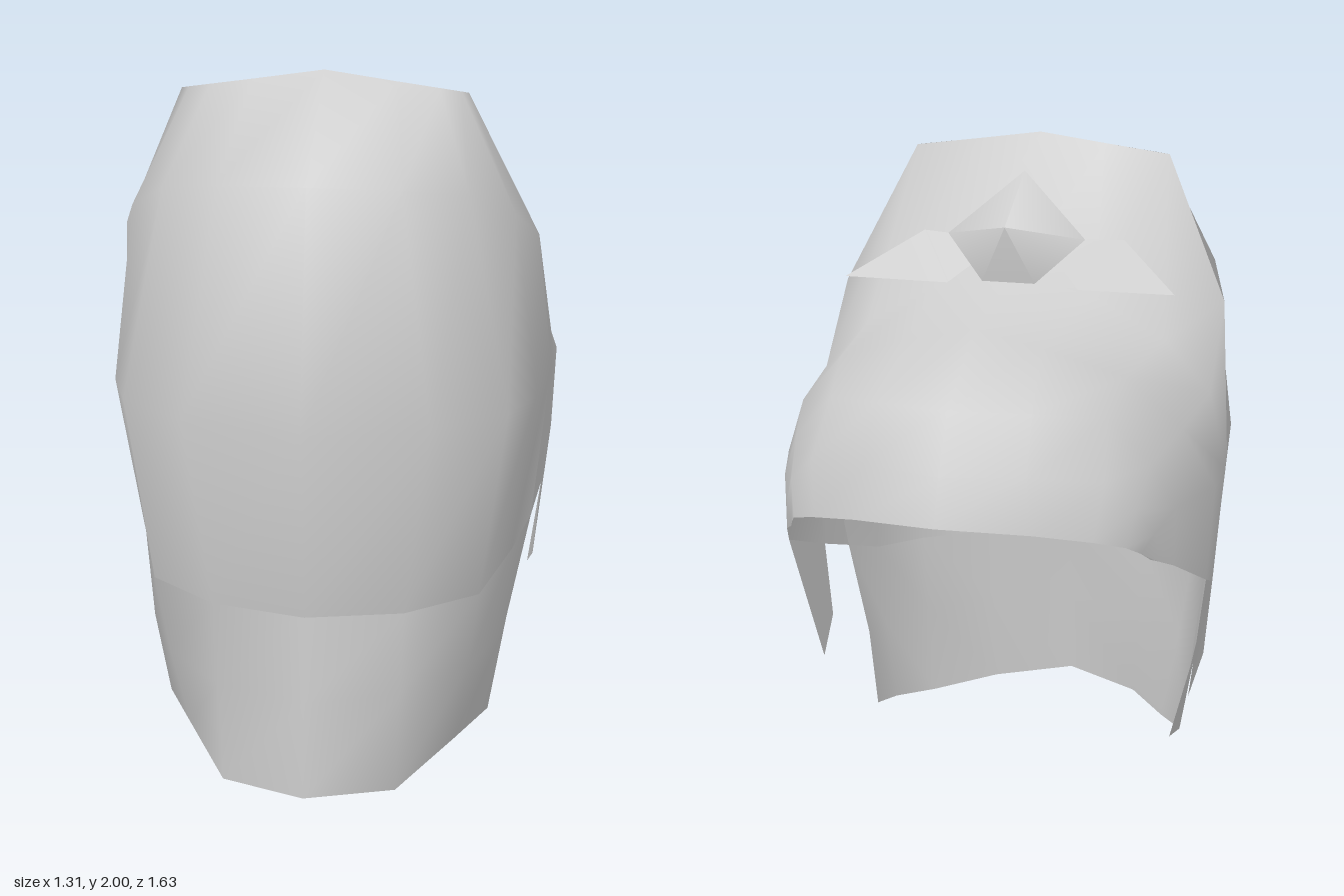
import * as THREE from 'three';
import { toCreasedNormals } from 'three/addons/utils/BufferGeometryUtils.js';
import { ConvexGeometry } from 'three/addons/geometries/ConvexGeometry.js';

const material = new THREE.MeshStandardMaterial({ color: 0xcccccc, side: THREE.DoubleSide });

// Skins a sheet over rows of points
function sheet(rows) {
  const n = rows[0].length, index = [];
  for (let r = 0; r < rows.length - 1; r++) {
    for (let c = 0; c < n - 1; c++) {
      const a = r * n + c, b = a + n;
      index.push(a, b, a + 1, a + 1, b, b + 1);
    }
  }
  const geo = new THREE.BufferGeometry();
  geo.setAttribute('position', new THREE.Float32BufferAttribute(rows.flat(2), 3));
  geo.setIndex(index);
  geo.computeVertexNormals();
  return geo;
}

// Completes half rows (centre to left side) across the middle
const mirrorRow = (row) => [...row.slice(1).reverse().map(([x, y, z]) => [-x, y, z]), ...row];

export function createModel() {
  const group = new THREE.Group();
  const add = (name, geo) => {
    const mesh = new THREE.Mesh(geo, material);
    mesh.name = name;
    group.add(mesh);
  };

  // Tall rounded front shield
  const foldRow = [[0, 0.55, 0.755], [0.27, 0.55, 0.69], [0.47, 0.555, 0.54], [0.55, 0.6, 0.3], [0.6, 0.655, 0.15]];
  add('frontShield', sheet([
    [[0, 2, 0.32], [0.2, 1.972, 0.325], [0.32, 1.956, 0.328], [0.38, 1.948, 0.33], [0.4, 1.945, 0.33]],
    [[0, 1.74, 0.68], [0.25, 1.73, 0.64], [0.42, 1.7, 0.53], [0.54, 1.62, 0.38], [0.6, 1.53, 0.21]],
    [[0, 1.1, 0.815], [0.34, 1.1, 0.73], [0.54, 1.1, 0.56], [0.61, 1.1, 0.37], [0.645, 1.1, 0.07]],
    foldRow,
  ].map(mirrorRow)));

  // Neck band hanging from the fold under the shield
  add('neckBand', sheet([
    foldRow,
    [[0, 0.3, 0.778], [0.26, 0.3, 0.69], [0.44, 0.31, 0.5], [0.53, 0.33, 0.3], [0.54, 0.35, 0.16]],
    [[0, 0.015, 0.8], [0.25, 0, 0.69], [0.4, 0.04, 0.43], [0.49, 0.07, 0.28], [0.49, 0.13, 0.09]],
  ].map(mirrorRow)));

  // Hood sweeping from the shield edge to the open rear rim
  add('hood', sheet([
    [[0, 1.1, -0.815], [0.25, 1.08, -0.745], [0.4, 1.045, -0.66], [0.48, 1.02, -0.61], [0.51, 0.985, -0.55], [0.53, 0.955, -0.51]],
    [[0, 1.23, -0.77], [0.23, 1.23, -0.71], [0.42, 1.2, -0.61], [0.5, 1.12, -0.57], [0.54, 1.03, -0.51], [0.55, 0.94, -0.48]],
    [[0, 1.39, -0.68], [0.22, 1.38, -0.62], [0.4, 1.35, -0.5], [0.52, 1.22, -0.47], [0.58, 1.08, -0.42], [0.58, 0.91, -0.42]],
    [[0, 1.55, -0.41], [0.2, 1.51, -0.42], [0.42, 1.43, -0.36], [0.57, 1.27, -0.28], [0.655, 1.08, -0.2], [0.645, 0.81, -0.25]],
    [[0, 1.62, 0], [0.25, 1.57, 0], [0.46, 1.45, 0], [0.6, 1.3, 0], [0.655, 1.08, -0.02], [0.625, 0.71, 0]],
    [[0, 2, 0.32], [0.2, 1.972, 0.325], [0.4, 1.945, 0.33], [0.6, 1.53, 0.21], [0.645, 1.1, 0.07], [0.6, 0.655, 0.15]],
  ].map(mirrorRow)));

  // Faceted knot on top
  const knot = [
    [0, 1.91, 0.13], [0, 1.78, -0.1], [0, 1.75, 0.15], [0.21, 1.73, 0.03], [-0.21, 1.73, 0.03],
    [0.08, 1.61, -0.06], [-0.08, 1.61, -0.06],
  ].map((p) => new THREE.Vector3(...p));
  add('knot', toCreasedNormals(new ConvexGeometry(knot), 1));

  // Side flaps and the leaf-shaped ends of the knot
  for (const [side, s] of [['left', 1], ['right', -1]]) {
    const pair = (...rows) => sheet(rows.map((row) => {
      const out = row.map(([x, y, z]) => [s * x, y, z]);
      return s > 0 ? out : out.reverse();
    }));
    add(side + 'Flap', pair(
      [[0.625, 0.71, 0], [0.645, 0.81, -0.25]],
      [[0.605, 0.47, 0], [0.585, 0.385, -0.14]],
    ));
    add(side + 'KnotLeaf', pair(
      [[0.06, 1.7, 0.12], [0.31, 1.72, 0.11]],
      [[0.2, 1.59, -0.02], [0.5, 1.605, -0.08]],
    ));
  }
  return group;
}
